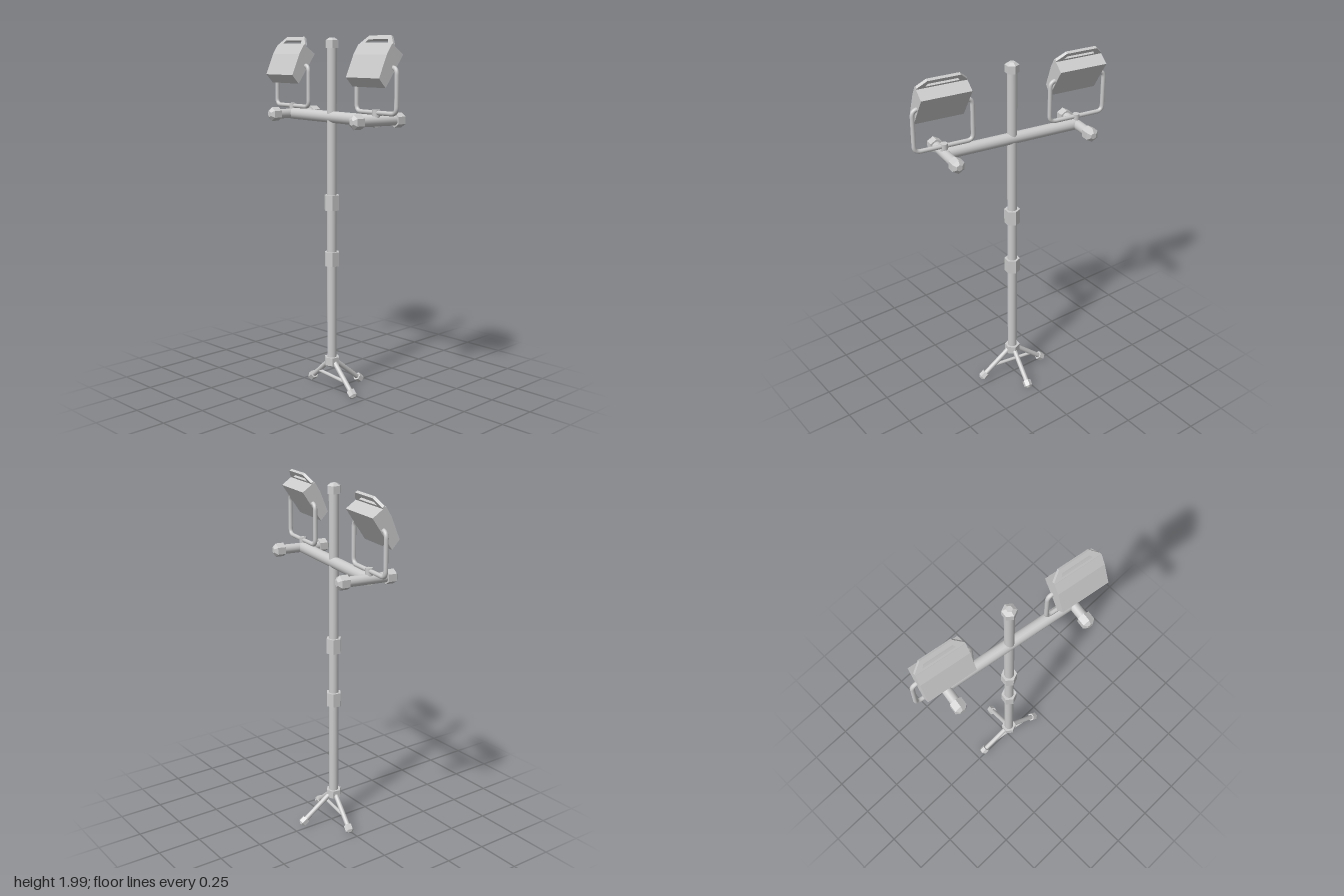
import * as THREE from 'three';

const V = (x, y, z) => new THREE.Vector3(x, y, z);
const UP = V(0, 1, 0);
const smooth = new THREE.MeshStandardMaterial({ color: 0xcccccc });
const flat = new THREE.MeshStandardMaterial({ color: 0xcccccc, flatShading: true });

function add(parent, name, geometry, material) {
  const mesh = new THREE.Mesh(geometry, material);
  mesh.name = name;
  parent.add(mesh);
  return mesh;
}

// Round tube between two points
function rod(parent, name, a, b, r) {
  const dir = b.clone().sub(a);
  const mesh = add(parent, name, new THREE.CylinderGeometry(r, r, dir.length(), 16), smooth);
  mesh.position.copy(a).add(b).multiplyScalar(0.5);
  mesh.quaternion.setFromUnitVectors(UP, dir.normalize());
}

// Six-sided cap with a tapered end, starting at a point and pointing along dir
function cap(parent, name, at, dir, r, h) {
  const profile = [[0, 0], [r, 0], [r, h * 0.75], [r * 0.45, h], [0, h]].map(p => new THREE.Vector2(...p));
  const mesh = add(parent, name, new THREE.LatheGeometry(profile, 6).rotateY(Math.PI / 2), flat);
  mesh.position.copy(at);
  mesh.quaternion.setFromUnitVectors(UP, dir.clone().normalize());
}

// Path of straight runs joined by rounded corners
function roundedPath(points, r) {
  const path = new THREE.CurvePath();
  let from = points[0];
  for (let i = 1; i < points.length - 1; i++) {
    const p = points[i];
    const a = p.clone().add(points[i - 1].clone().sub(p).setLength(r));
    const b = p.clone().add(points[i + 1].clone().sub(p).setLength(r));
    path.add(new THREE.LineCurve3(from, a));
    path.add(new THREE.QuadraticBezierCurve3(a, p, b));
    from = b;
  }
  path.add(new THREE.LineCurve3(from, points[points.length - 1]));
  return path;
}

const polygon = pts => pts.map(p => new THREE.Vector2(...p));

function createLamp() {
  const lamp = new THREE.Group();
  lamp.name = 'floodlight';
  const depth = 0.277, tilt = 0.593;

  // Tilted housing, cross-section swept along the crossbar direction
  const section = new THREE.Shape(polygon([
    [-0.091, 1.788], [-0.049, 1.74], [0.062, 1.905], [-0.011, 1.957], [-0.043, 1.905]]));
  const body = new THREE.ExtrudeGeometry(section, { depth, bevelEnabled: false });
  add(lamp, 'housing', body.translate(0, 0, -depth / 2), flat);

  // Carrying handle with a slot
  const plate = new THREE.Shape(polygon([
    [-0.137, -0.005], [0.137, -0.005], [0.137, 0.008], [0.09, 0.056], [-0.09, 0.056], [-0.137, 0.008]]));
  plate.holes.push(new THREE.Path(polygon([
    [-0.092, 0.012], [-0.08, 0.032], [0.08, 0.032], [0.092, 0.012]])));
  const handle = add(lamp, 'handle', new THREE.ExtrudeGeometry(plate, { depth: 0.016, bevelEnabled: false })
    .rotateY(Math.PI / 2).rotateZ(-tilt), flat);
  handle.position.set(-0.008, 1.954, 0);

  // U-shaped yoke and its mounting stud
  const yoke = roundedPath([V(0, 1.84, 0.12), V(0, 1.84, 0.165), V(0, 1.61, 0.165),
    V(0, 1.61, -0.165), V(0, 1.84, -0.165), V(0, 1.84, -0.12)], 0.035);
  add(lamp, 'yoke', new THREE.TubeGeometry(yoke, 100, 0.012, 10), smooth);
  rod(lamp, 'yokeStud', V(0, 1.57, 0), V(0, 1.625, 0), 0.02);

  // Short bar under the lamp with capped ends
  rod(lamp, 'shortBar', V(-0.12, 1.566, 0), V(0.145, 1.566, 0), 0.027);
  cap(lamp, 'barCap', V(0.122, 1.566, 0), V(1, 0, 0), 0.039, 0.062);
  cap(lamp, 'barCap', V(-0.096, 1.566, 0), V(-1, 0, 0), 0.039, 0.062);
  return lamp;
}

export function createModel() {
  const model = new THREE.Group();
  model.name = 'floodlightStand';
  const stand = new THREE.Group();
  stand.name = 'stand';
  stand.position.set(-0.016, 0, 0.002);
  stand.rotation.y = -0.157;
  model.add(stand);

  // Mast with clamp collars and top cap
  rod(stand, 'mast', V(0, 0.16, 0), V(0, 1.96, 0), 0.027);
  cap(stand, 'mastCap', V(0, 1.937, 0), UP, 0.038, 0.055);
  for (const [y, h] of [[1.093, 0.085], [0.774, 0.08], [0.18, 0.046]]) {
    const collar = add(stand, 'collar', new THREE.CylinderGeometry(0.044, 0.044, h, 6).rotateY(Math.PI / 2), flat);
    collar.position.y = y;
  }

  // Crossbar and the two lamps
  rod(stand, 'crossbar', V(0, 1.566, -0.4), V(0, 1.566, 0.4), 0.032);
  for (const side of [-1, 1]) {
    const lamp = createLamp();
    lamp.position.z = side * 0.392;
    stand.add(lamp);
  }

  // Three legs with capped feet
  for (const [x, z] of [[1, 0], [0, 1], [0, -1]]) {
    const top = V(x * 0.02, 0.178, z * 0.02);
    const foot = V(x * 0.195, 0.034, z * 0.195);
    const dir = foot.clone().sub(top).normalize();
    rod(stand, 'leg', top, foot, 0.014);
    cap(stand, 'foot', foot.clone().addScaledVector(dir, -0.022), dir, 0.025, 0.046);
  }
  rod(stand, 'legBrace', V(0, 0.085, -0.132), V(0, 0.085, 0.132), 0.01);
  return model;
}
